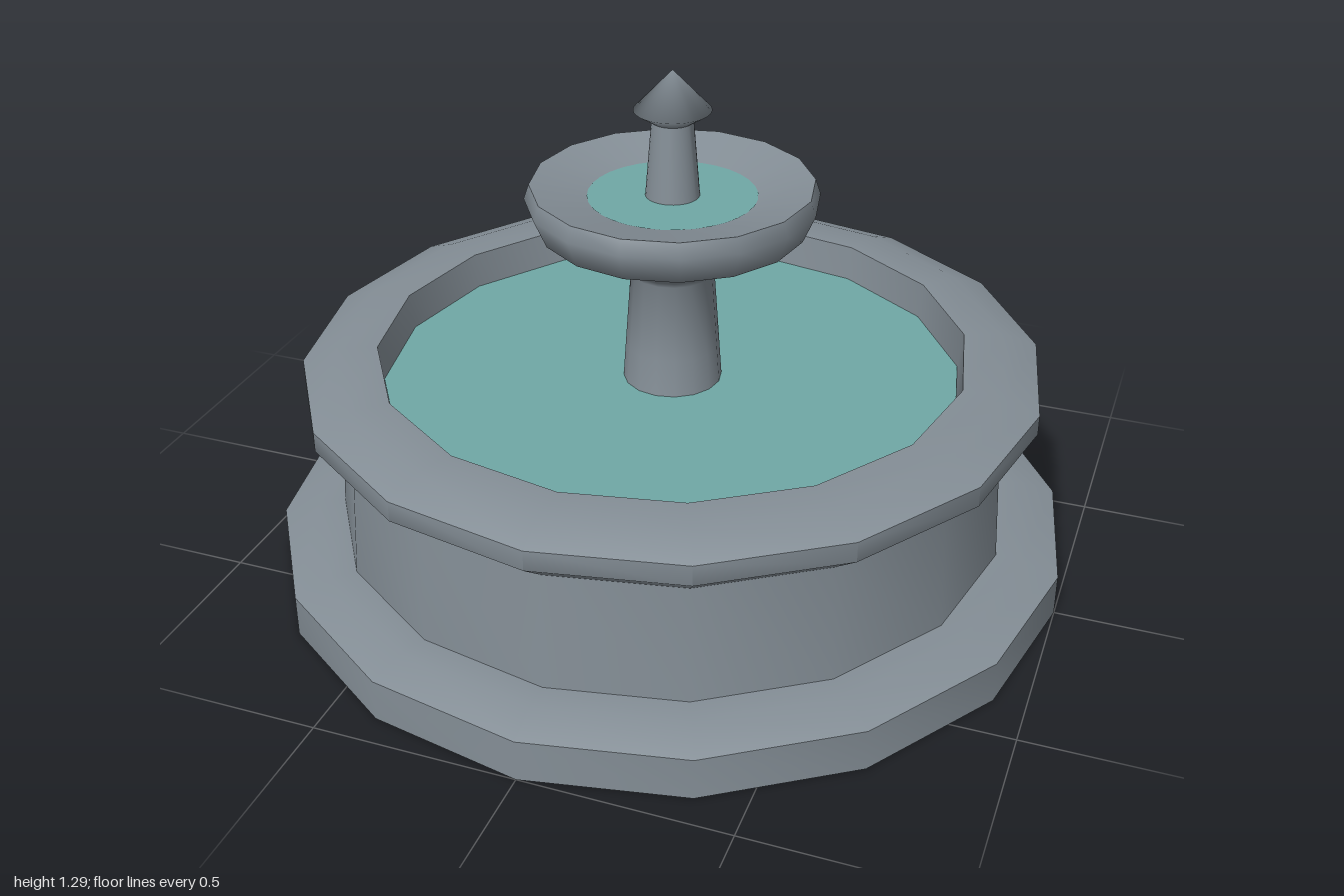
import * as THREE from 'three';
import { toCreasedNormals } from 'three/addons/utils/BufferGeometryUtils.js';

const stone = new THREE.MeshStandardMaterial({ color: 0x848e96, side: THREE.DoubleSide });
stone.name = 'stone';
const water = new THREE.MeshStandardMaterial({ color: 0x70a8a6 });
water.name = 'water';

// Turned stone part from [radius, height] pairs, smooth below the crease angle
function turned(name, profile, sides, crease = 0.93) {
  const points = profile.map(([r, y]) => new THREE.Vector2(r, y));
  const geometry = toCreasedNormals(new THREE.LatheGeometry(points, sides), crease);
  const mesh = new THREE.Mesh(geometry, stone);
  mesh.name = name;
  return mesh;
}

// Flat water surface, facing up
function pool(name, radius, y, sides) {
  const geometry = new THREE.CircleGeometry(radius, sides);
  geometry.rotateX(-Math.PI / 2);
  const mesh = new THREE.Mesh(geometry, water);
  mesh.name = name;
  mesh.position.y = y;
  return mesh;
}

export function createModel() {
  const fountain = new THREE.Group();
  fountain.name = 'fountain';

  // Hollow basin: plinth, wall, rim, inner wall and floor with an open centre
  fountain.add(turned('basin', [
    [1, 0], [1, 0.105], [0.91, 0.135], [0.845, 0.135],
    [0.83, 0.428], [0.915, 0.495], [0.915, 0.545], [0.83, 0.578],
    [0.73, 0.578], [0.695, 0.26], [0.165, 0.26],
  ], 16));
  fountain.add(pool('basinWater', 0.719, 0.487, 16));

  // Tapered column flaring into the upper bowl, with a shallow inside
  fountain.add(turned('columnAndBowl', [
    [0.165, 0.26], [0.123, 0.48], [0.116, 0.58], [0.102, 0.775], [0.112, 0.79],
    [0.19, 0.852], [0.325, 0.9], [0.355, 0.97], [0.342, 1.007],
    [0.2, 0.972], [0.05, 0.935],
  ], 16));
  fountain.add(pool('upperWater', 0.205, 0.975, 32));

  // Stem and pointed finial
  fountain.add(turned('stem', [[0.07, 0.92], [0.05, 1.165]], 32));
  fountain.add(turned('finial', [[0.05, 1.162], [0.093, 1.19], [0, 1.288]], 32, 2));

  return fountain;
}
